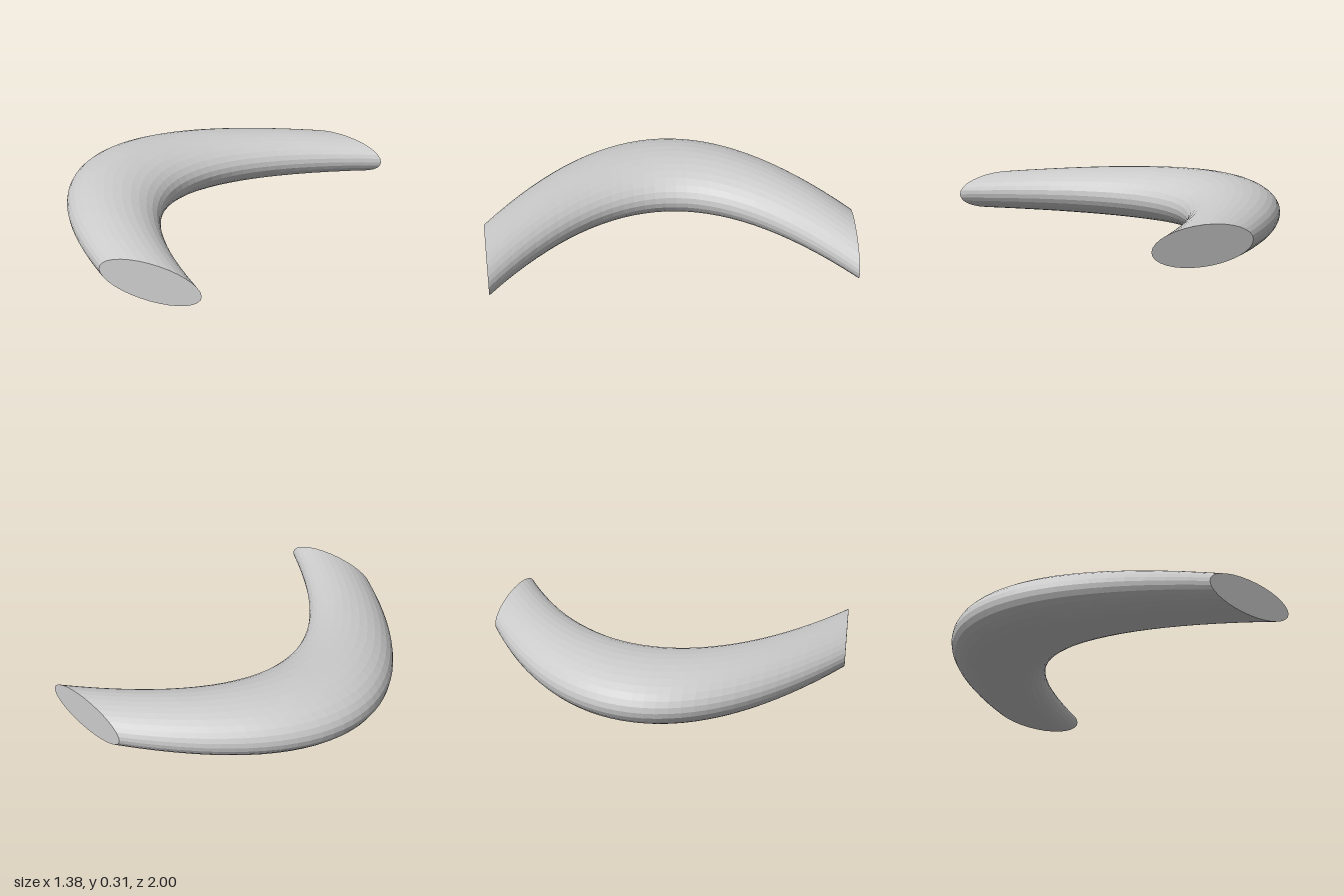
import * as THREE from 'three';

const SIDES = 32;
const RINGS = 32;

// Point on the elliptical section at t (-1 back end .. 1 front end), angle a.
function hornPoint(t, a) {
  const outer = new THREE.Vector2(-0.695 + 0.795 * t * t + 0.01 * t, t);
  const inner = new THREE.Vector2(-0.075 + 0.755 * t * t + 0.01 * t, 0.953 * t);
  const p = outer.lerp(inner, 0.5 + 0.5 * Math.cos(a));
  const halfHeight = 0.157 - 0.053 * t * t;
  return [p.x, 0.157 + halfHeight * Math.sin(a), p.y];
}

function crescentGeometry() {
  const positions = [];
  const index = [];
  for (let i = 0; i <= RINGS; i++) {
    for (let j = 0; j < SIDES; j++) {
      positions.push(...hornPoint((2 * i) / RINGS - 1, (j / SIDES) * Math.PI * 2));
    }
  }
  // skin between neighbouring sections
  for (let i = 0; i < RINGS; i++) {
    for (let j = 0; j < SIDES; j++) {
      const k = (j + 1) % SIDES;
      const a = i * SIDES + j, b = i * SIDES + k;
      index.push(a, b, a + SIDES, b, b + SIDES, a + SIDES);
    }
  }
  // flat end caps
  const last = RINGS * SIDES;
  for (let j = 1; j < SIDES - 1; j++) {
    index.push(0, j + 1, j);
    index.push(last, last + j, last + j + 1);
  }
  const geometry = new THREE.BufferGeometry();
  geometry.setAttribute('position', new THREE.Float32BufferAttribute(positions, 3));
  geometry.setIndex(index);
  const flat = geometry.toNonIndexed();
  flat.computeVertexNormals();
  return flat;
}

export function createModel() {
  const group = new THREE.Group();
  group.name = 'crescent';
  const material = new THREE.MeshStandardMaterial({ color: 0xcccccc, flatShading: true });
  const body = new THREE.Mesh(crescentGeometry(), material);
  body.name = 'curvedBody';
  group.add(body);
  return group;
}
